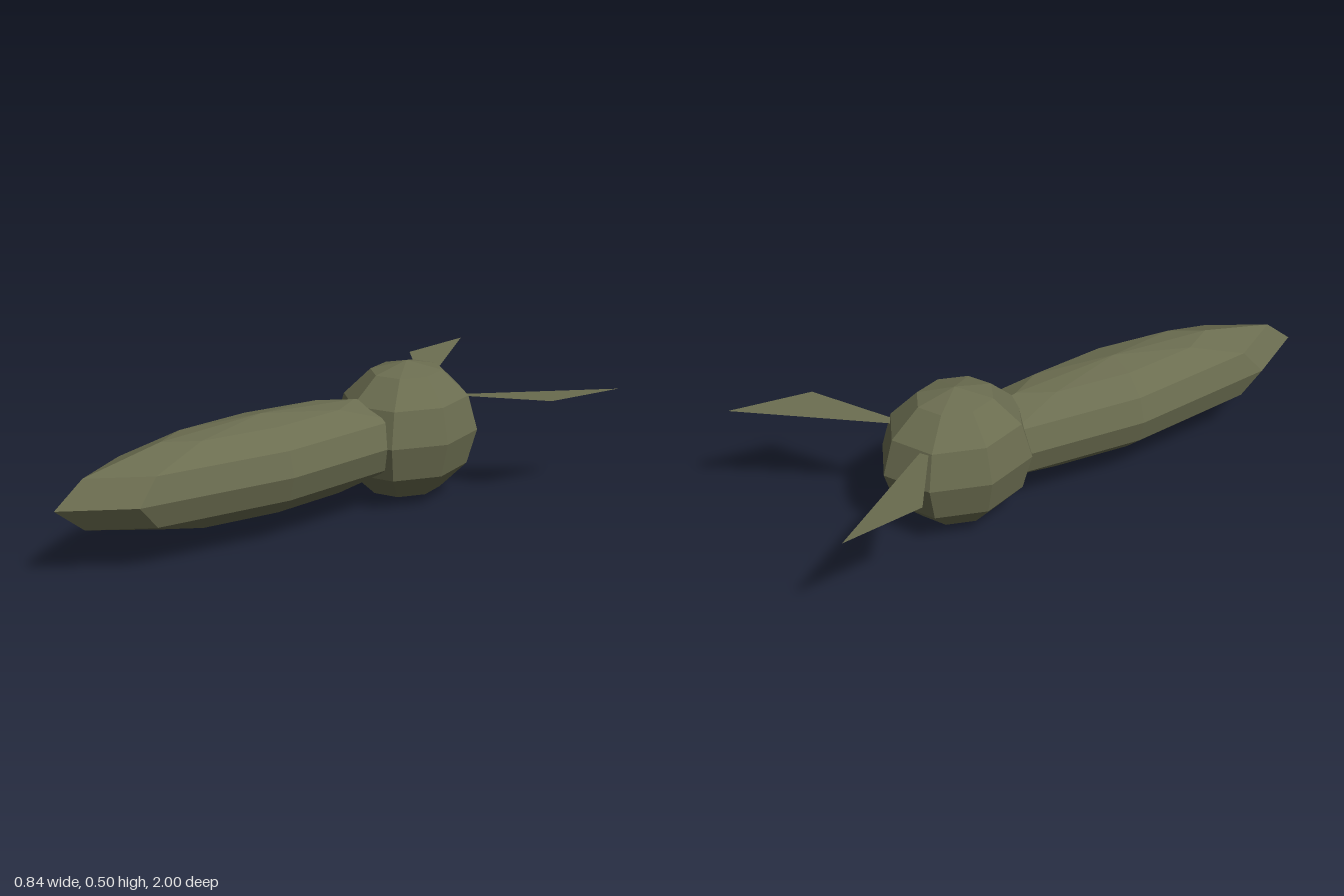
import * as THREE from 'three';

const olive = new THREE.MeshStandardMaterial({ color: 0x6b6d50, flatShading: true, side: THREE.DoubleSide });

// Faceted ellipsoid, 8 sides around and 6 rings high
function ellipsoid(name, radii, centre) {
  const geometry = new THREE.SphereGeometry(1, 8, 6);
  geometry.scale(...radii);
  const mesh = new THREE.Mesh(geometry, olive);
  mesh.name = name;
  mesh.position.set(...centre);
  return mesh;
}

// Single thin triangle, rooted inside the round part
function fin(name, side) {
  const root = [side * 0.055, 0.364, -0.51];
  const corner = [side * 0.385, 0.385, -0.715];
  const tip = [side * 0.42, 0.387, -1];
  const points = side > 0 ? [root, corner, tip] : [root, tip, corner];
  const geometry = new THREE.BufferGeometry();
  geometry.setAttribute('position', new THREE.Float32BufferAttribute(points.flat(), 3));
  geometry.computeVertexNormals();
  const mesh = new THREE.Mesh(geometry, olive);
  mesh.name = name;
  return mesh;
}

export function createModel() {
  const model = new THREE.Group();
  model.name = 'creature';

  // Long body and the round end it joins
  model.add(ellipsoid('body', [0.19, 0.171, 0.77], [0, 0.251, 0.23]));
  model.add(ellipsoid('head', [0.23, 0.248, 0.27], [0, 0.251, -0.385]));

  // Pair of swept fins
  model.add(fin('leftFin', 1), fin('rightFin', -1));
  return model;
}
